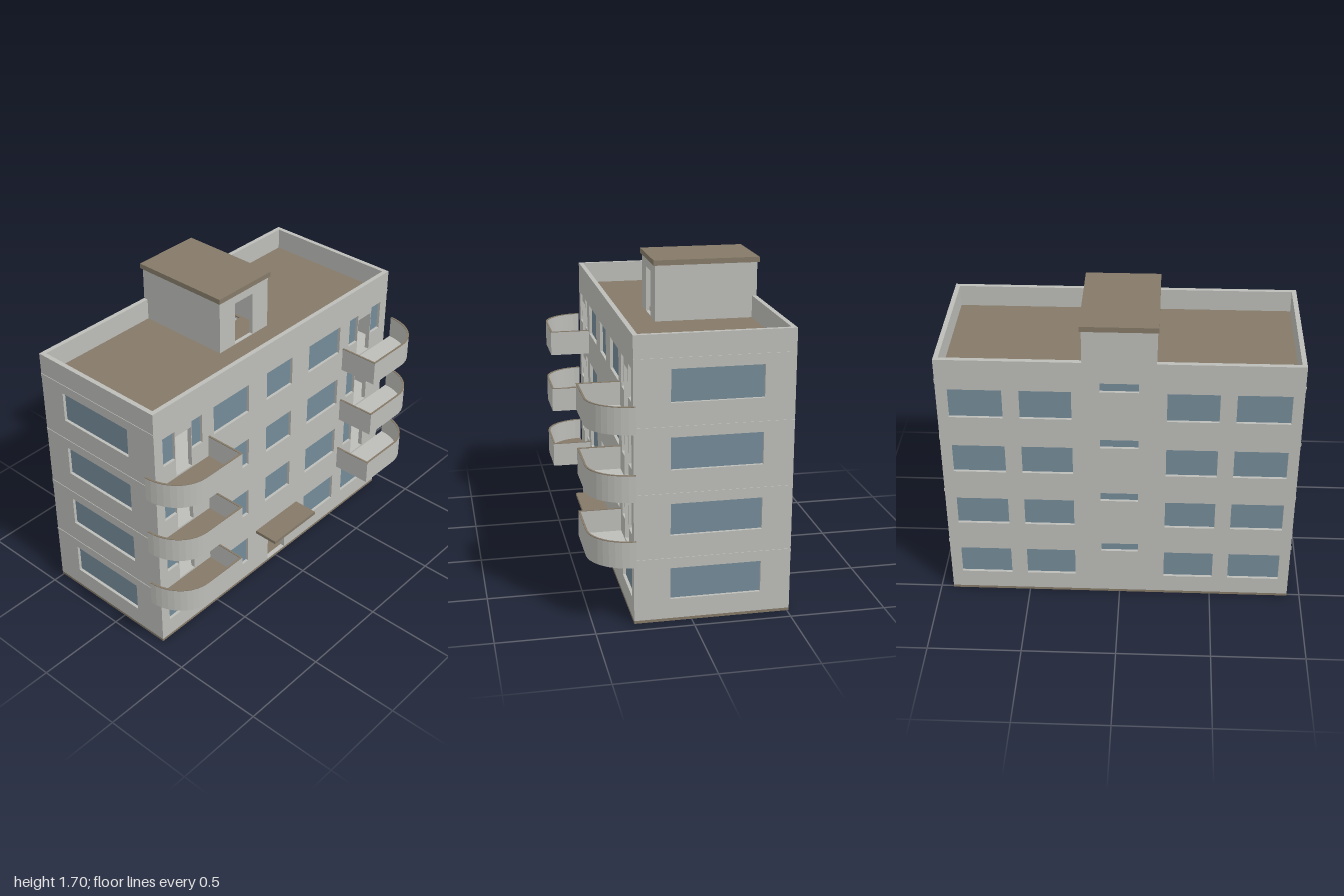
import * as THREE from 'three';

const paint = (name, color) => {
  const m = new THREE.MeshStandardMaterial({ color });
  m.name = name;
  return m;
};

export function createModel() {
  const wallGrey = paint('wall grey', 0xbcbcb8);
  const roofTan = paint('roof tan', 0x857a68);
  const glassBlue = paint('glass blue', 0x748b98);

  const model = new THREE.Group();
  model.name = 'apartmentBlock';
  const T = 0.025, X = 0.93, ZF = 0.295, ZB = -0.51, ZC = (ZF + ZB) / 2;
  const TOP = 1.49, PITCH = 0.343, ROOF = 1.372;

  const add = (parent, name, geo, mat) => {
    const mesh = new THREE.Mesh(geo, mat);
    mesh.name = name;
    parent.add(mesh);
    return mesh;
  };
  // box given by its limits on each axis
  const box = (parent, name, mat, x0, x1, y0, y1, z0, z1) => {
    const mesh = add(parent, name, new THREE.BoxGeometry(x1 - x0, y1 - y0, z1 - z0), mat);
    mesh.position.set((x0 + x1) / 2, (y0 + y1) / 2, (z0 + z1) / 2);
    return mesh;
  };
  const rect = (Kind, [x0, x1, y0, y1]) => new Kind([
    new THREE.Vector2(x0, y0), new THREE.Vector2(x1, y0),
    new THREE.Vector2(x1, y1), new THREE.Vector2(x0, y1)]);
  const extrude = (shape, depth) =>
    new THREE.ExtrudeGeometry(shape, { depth, bevelEnabled: false });

  // wall with window openings (glazed) and doorways (open); outer face at local z = T
  const wall = (name, limits, windows, doors = []) => {
    const group = new THREE.Group();
    group.name = name;
    const shape = rect(THREE.Shape, limits);
    [...windows, ...doors].forEach(h => shape.holes.push(rect(THREE.Path, h)));
    add(group, name + 'Panel', extrude(shape, T), wallGrey);
    windows.forEach(([x0, x1, y0, y1]) =>
      box(group, 'windowPane', glassBlue, x0, x1, y0, y1, 0.003, 0.009));
    model.add(group);
    return group;
  };

  // openings, floor by floor
  const front = [], back = [], side = [], doors = [[-0.073, 0.073, 0.02, 0.275]];
  for (let f = 0; f < 4; f++) {
    const y0 = 0.12 + f * PITCH, y1 = y0 + 0.168, base = f * PITCH;
    side.push([-0.11, 0.355, y0, y1]);
    back.push([-0.1, 0.1, base + 0.29, base + 0.342]);
    if (f > 0) front.push([-0.103, 0.103, y0, y1]);
    for (const s of [-1, 1]) {
      const span = (a, b, lo, hi) => [Math.min(s * a, s * b), Math.max(s * a, s * b), lo, hi];
      const inner = span(0.243, 0.51, y0, y1), outer = span(0.595, 0.873, y0, y1);
      front.push(inner);
      back.push(inner, outer);
      if (f === 0) front.push(outer);
      else {
        front.push(span(0.595, 0.67, y0, y1), span(0.79, 0.873, y0, y1));
        doors.push(span(0.674, 0.786, base + 0.018, base + 0.255));
      }
    }
  }

  // outer walls, rising above the roof as a parapet
  wall('frontWall', [-X, X, 0.015, TOP], front, doors).position.z = ZF - T;
  const backWall = wall('backWall', [-X, X, 0.015, TOP], back);
  backWall.rotation.y = Math.PI;
  backWall.position.z = ZB + T;
  const half = (ZF - ZB) / 2 - T;
  for (const s of [-1, 1]) {
    const holes = side.map(([a, b, lo, hi]) => s > 0 ? [a + ZC, b + ZC, lo, hi] : [-b - ZC, -a - ZC, lo, hi]);
    const w = wall(s > 0 ? 'leftWall' : 'rightWall', [-half, half, 0.015, TOP], holes);
    w.rotation.y = s * Math.PI / 2;
    w.position.set(s * (X - T), 0, ZC);
    // slim floor bands on the side walls
    for (let f = 1; f <= 4; f++) {
      const a = s * X, b = s * (X + 0.003), y = f * PITCH - 0.007;
      box(model, 'floorBand', wallGrey, Math.min(a, b), Math.max(a, b), y - 0.008, y + 0.008, ZB, ZF);
    }
  }

  // ground slab, upper floors and roof with a stairwell opening
  box(model, 'groundSlab', roofTan, -X, X, 0, 0.015, ZB, ZF);
  const slab = (name, y, thick, mat) => {
    const shape = rect(THREE.Shape, [-X + T, X - T, ZB + T, ZF - T]);
    shape.holes.push(rect(THREE.Path, [-0.15, 0.15, ZB + 0.04, -0.12]));
    const geo = extrude(shape, thick).rotateX(Math.PI / 2);
    add(model, name, geo, mat).position.y = y;
  };
  for (let f = 1; f < 4; f++) slab('upperFloor', f * PITCH + 0.015, 0.015, wallGrey);
  slab('roofDeck', ROOF, 0.006, roofTan);
  slab('roofCeiling', ROOF - 0.006, 0.01, wallGrey);

  // roof stair house with an open doorway
  const house = rect(THREE.Shape, [-0.187, 0.187, ROOF, 1.672]);
  house.holes.push(rect(THREE.Path, [-0.07, 0.067, ROOF + 0.003, 1.62]));
  add(model, 'stairHouseFront', extrude(house, 0.02), wallGrey).position.z = 0.023;
  box(model, 'stairHouseBack', wallGrey, -0.187, 0.187, TOP - 0.01, 1.672, ZB, ZB + T);
  for (const s of [-1, 1])
    box(model, 'stairHouseSide', wallGrey, s * 0.177 - 0.01, s * 0.177 + 0.01, ROOF, 1.672, ZB + T, 0.023);
  box(model, 'stairHouseRoof', roofTan, -0.197, 0.197, 1.672, 1.7, -0.52, 0.052);

  // entrance canopy
  box(model, 'entranceCanopy', roofTan, -0.175, 0.173, 0.276, 0.295, ZF, 0.435);

  // balconies: straight inner end, rounded outer corner
  const outline = (s, inset) => {
    const pts = [[0.542 + inset, ZF], [0.542 + inset, 0.517 - inset]];
    for (let i = 0; i <= 10; i++) {
      const a = Math.PI / 2 * (1 - i / 10);
      pts.push([0.8 + (0.2 - inset) * Math.cos(a), ZF + (0.222 - inset) * Math.sin(a)]);
    }
    return pts.map(([x, z]) => new THREE.Vector2(s * x, z));
  };
  for (const s of [-1, 1]) {
    const ring = new THREE.Shape([...outline(s, 0), ...outline(s, 0.01).reverse()]);
    const deck = new THREE.Shape(outline(s, 0.01));
    const parts = [
      ['balconyRail', ring, 0.139, 0.136, wallGrey],
      ['balconyRailCap', ring, 0.142, 0.003, roofTan],
      ['balconyDeck', deck, 0.018, 0.004, s < 0 ? roofTan : wallGrey],
      ['balconySoffit', deck, 0.014, 0.011, wallGrey],
    ];
    for (let f = 0; f < 3; f++) {
      const group = new THREE.Group();
      group.name = 'balcony';
      group.position.y = 0.333 + f * PITCH;
      for (const [name, shape, top, depth, mat] of parts)
        add(group, name, extrude(shape, depth).rotateX(Math.PI / 2), mat).position.y = top;
      model.add(group);
    }
  }
  return model;
}
